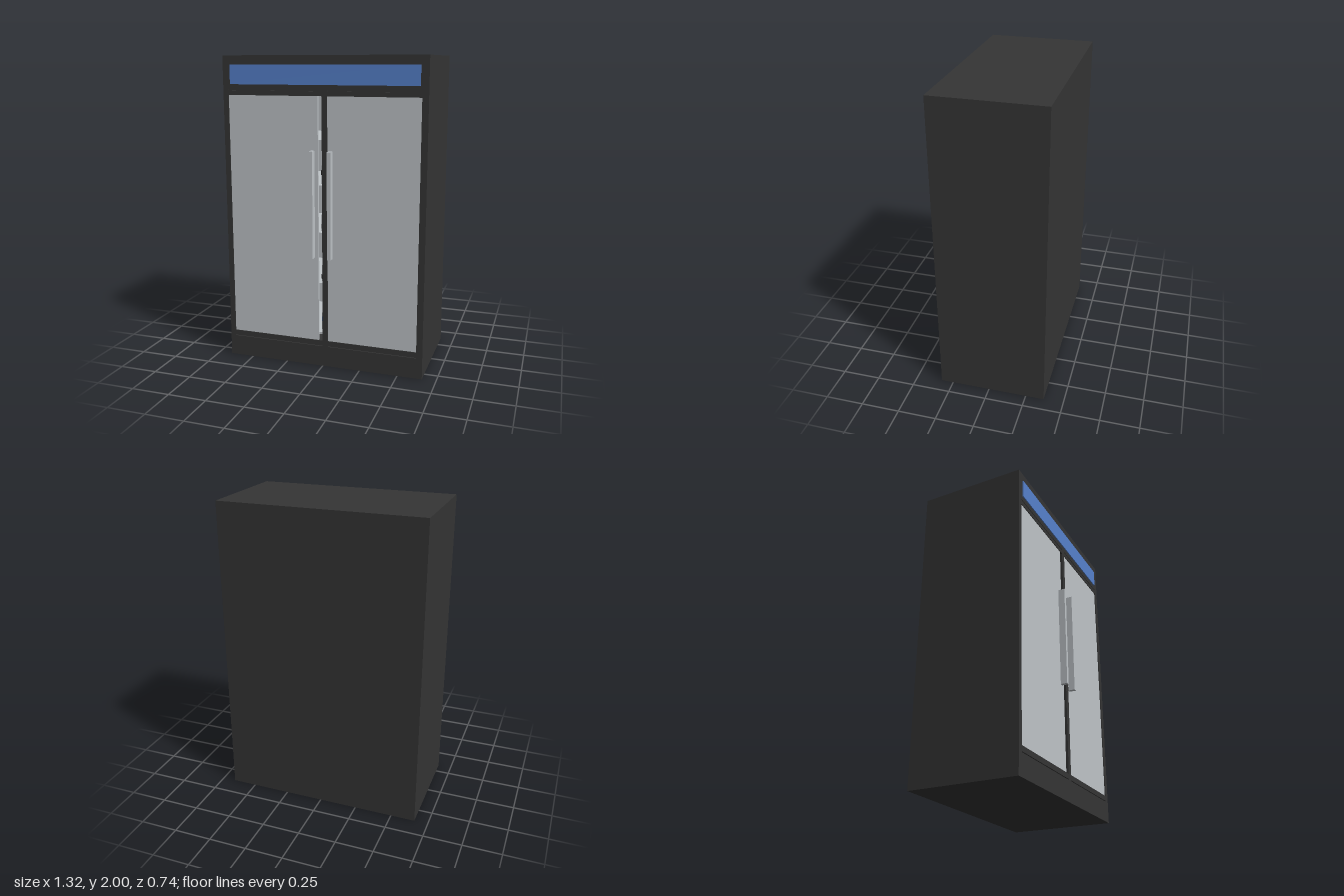
import * as THREE from 'three';

export function createModel() {
  const model = new THREE.Group();
  const mat = (name, color) => Object.assign(new THREE.MeshStandardMaterial({ color }), { name });
  const dark = mat('charcoal', 0x353535);
  const pale = mat('paleGrey', 0xc0c5c9);
  const blue = mat('blue', 0x5782cd);

  const add = (name, geometry, material) => {
    const mesh = new THREE.Mesh(geometry, material);
    mesh.name = name;
    model.add(mesh);
    return mesh;
  };
  // Box given by its two extreme corners
  const box = (name, material, x0, x1, y0, y1, z0, z1) => {
    const mesh = add(name, new THREE.BoxGeometry(x1 - x0, y1 - y0, z1 - z0), material);
    mesh.position.set((x0 + x1) / 2, (y0 + y1) / 2, (z0 + z1) / 2);
    return mesh;
  };

  // Hollow cabinet
  const W = 0.66, back = -0.37, front = 0.33, inner = 0.322;
  box('backWall', dark, -W, W, 0, 2, back, back + 0.035);
  box('rightWall', dark, -W, -0.625, 0, 2, back + 0.035, 0.29);
  box('leftWall', dark, 0.625, W, 0, 2, back + 0.035, 0.29);
  box('header', dark, -0.625, 0.625, 1.755, 2, back + 0.035, inner);
  box('plinth', dark, -0.625, 0.625, 0, 0.175, back + 0.035, inner);

  // Front frame with door openings and the seams above and below them
  const rect = (path, x0, x1, y0, y1) =>
    path.moveTo(x0, y0).lineTo(x1, y0).lineTo(x1, y1).lineTo(x0, y1).closePath();
  const frame = new THREE.Shape();
  rect(frame, -W, W, 0, 2);
  for (const [x0, x1] of [[-0.625, 0], [0.035, 0.62]]) {
    for (const [y0, y1] of [[0.175, 1.755], [0.136, 0.141], [1.784, 1.789]]) {
      const hole = new THREE.Path();
      rect(hole, x0, x1, y0, y1);
      frame.holes.push(hole);
    }
  }
  add('frontFrame', new THREE.ExtrudeGeometry(frame, { depth: 0.04, bevelEnabled: false }), dark)
    .position.z = front - 0.04;

  // Door panes, the right one leaving a narrow gap beside the mullion
  box('rightPane', pale, -0.625, -0.027, 0.175, 1.755, 0.312, 0.326);
  box('leftPane', pale, 0.035, 0.62, 0.175, 1.755, 0.312, 0.326);

  // Handles
  box('rightHandle', pale, -0.074, -0.05, 0.735, 1.42, 0.32, 0.37);
  box('leftHandle', pale, 0.045, 0.069, 0.735, 1.42, 0.32, 0.37);

  // Lit sign
  box('sign', blue, -0.61, 0.61, 1.822, 1.945, front, 0.336);

  // Interior lining and shelves
  box('lining', pale, -0.62, 0.62, 0.176, 1.754, back + 0.035, back + 0.045);
  const shelves = [0.2, 0.54, 0.88, 1.19, 1.48];
  shelves.forEach((y) => box('shelf', pale, -0.62, 0.62, y - 0.015, y, -0.32, 0.25));

  // Bottles on alternate shelves, cans on the others
  const bottle = new THREE.LatheGeometry(
    [[0, 0], [0.035, 0], [0.035, 0.11], [0.014, 0.17], [0.014, 0.2], [0, 0.2]]
      .map(([r, y]) => new THREE.Vector2(r, y)), 12);
  const can = new THREE.CylinderGeometry(0.035, 0.035, 0.11, 12);
  const label = new THREE.CylinderGeometry(0.036, 0.036, 0.03, 12, 1, true);
  shelves.slice(0, 4).forEach((y, row) => {
    for (let i = 0; i < 11; i++) {
      const x = -0.52 + i * 0.1, z = 0.18;
      if (row % 3 === 0) {
        add('bottle', bottle, pale).position.set(x, y, z);
        add('bottleLabel', label, row ? dark : blue).position.set(x, y + 0.075, z);
      } else {
        add('can', can, pale).position.set(x, y + 0.055, z);
        add('canBand', label, dark).position.set(x, y + 0.03, z);
      }
    }
  });

  return model;
}
